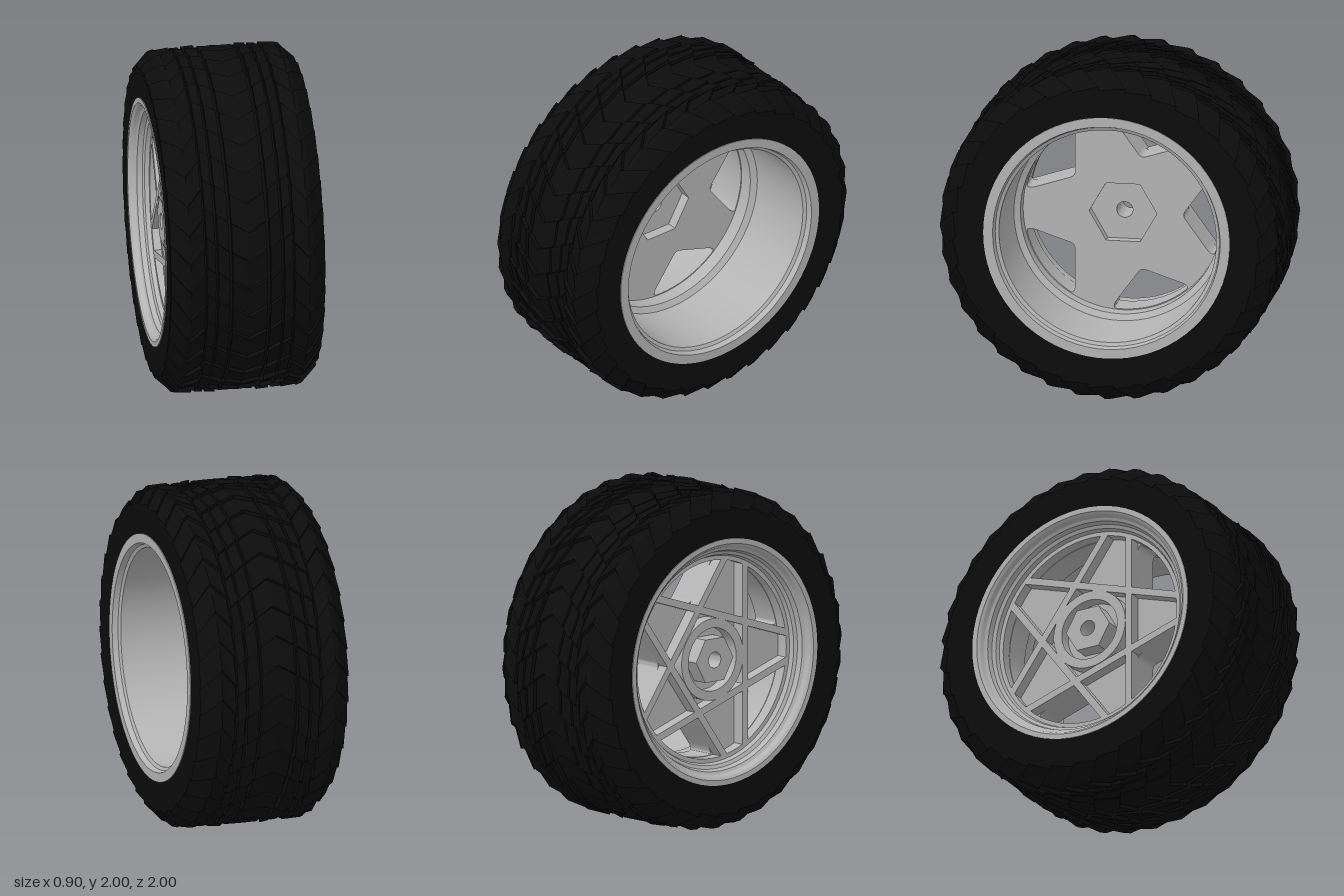
import * as THREE from 'three';
import { toCreasedNormals } from 'three/addons/utils/BufferGeometryUtils.js';

const rubber = new THREE.MeshStandardMaterial({ color: 0x0c0c0c });
rubber.name = 'black rubber';
const metal = new THREE.MeshStandardMaterial({ color: 0xb4b4b4 });
metal.name = 'grey rim';

const TAU = Math.PI * 2;
const V = (x, y) => new THREE.Vector2(x, y);
const polar = (r, a) => V(r * Math.cos(a), r * Math.sin(a));

function addMesh(parent, name, geometry, material, crease = 0.5) {
  const mesh = new THREE.Mesh(toCreasedNormals(geometry, crease), material);
  mesh.name = name;
  parent.add(mesh);
}

// Closed [radius, x] profile turned about the axle
function ring(profile, segments) {
  const pts = [...profile, profile[0]].map(([r, x]) => V(r, x));
  return new THREE.LatheGeometry(pts, segments).rotateZ(-Math.PI / 2);
}

// Shape drawn in the wheel plane, extruded along the axle from x0 to x1
function slab(shape, x0, x1) {
  return new THREE.ExtrudeGeometry(shape, { depth: x1 - x0, bevelEnabled: false, curveSegments: 32 })
    .translate(0, 0, x0).rotateY(Math.PI / 2);
}

const disc = (r) => new THREE.Shape().absarc(0, 0, r, 0, TAU, false);
const bore = (r) => new THREE.Path().absarc(0, 0, r, 0, TAU, true);
const hexagon = (r) => [0, 1, 2, 3, 4, 5].map((i) => polar(r, i * TAU / 6));

// Triangular opening between two star arms, with rounded corners
const STAR = 0.28, OPEN = 0.578;
function opening(a) {
  const half = Math.acos(STAR / OPEN) - Math.PI / 5;
  const tip = polar(STAR / Math.cos(Math.PI / 5), a);
  const c0 = polar(OPEN, a - half), c1 = polar(OPEN, a + half);
  const toward = (p, q, d) => p.clone().lerp(q, d / p.distanceTo(q));
  const trim = 0.07;
  const path = new THREE.Path();
  const start = toward(tip, c0, 0.03);
  path.moveTo(start.x, start.y);
  const before = toward(c0, tip, trim);
  path.lineTo(before.x, before.y);
  const arc0 = polar(OPEN, a - half + 0.06);
  path.quadraticCurveTo(c0.x, c0.y, arc0.x, arc0.y);
  for (let i = 1; i <= 12; i++) {
    const p = polar(OPEN, a + (half - 0.06) * (i / 6 - 1));
    path.lineTo(p.x, p.y);
  }
  const after = toward(c1, tip, trim);
  path.quadraticCurveTo(c1.x, c1.y, after.x, after.y);
  const end = toward(tip, c1, 0.03);
  path.lineTo(end.x, end.y);
  path.quadraticCurveTo(tip.x, tip.y, start.x, start.y);
  return path;
}

// Tread band: columns of [x, radius, chevron shift, saw depth], sheared so the teeth follow the V
const TEETH = 36;
const SAW = [[0, 0], [0.8, 1], [0.98, 1]];
function treadBand(columns) {
  const pos = [], index = [];
  const rows = TEETH * SAW.length, n = columns.length;
  for (let i = 0; i < rows; i++) {
    const [f, low] = SAW[i % SAW.length];
    const turn = Math.floor(i / SAW.length) + f;
    for (const [x, r, shift, saw] of columns) {
      const a = turn * TAU / TEETH + shift, rad = r - low * saw;
      pos.push(x, rad * Math.cos(a), rad * Math.sin(a));
    }
  }
  for (let i = 0; i < rows; i++) {
    for (let j = 0; j < n - 1; j++) {
      const a = i * n + j, b = ((i + 1) % rows) * n + j;
      index.push(a, b, b + 1, a, b + 1, a + 1);
    }
  }
  const g = new THREE.BufferGeometry();
  g.setAttribute('position', new THREE.Float32BufferAttribute(pos, 3));
  g.setIndex(index);
  return g;
}
const mirrored = (columns) => columns.map(([x, ...rest]) => [-x, ...rest]).reverse();

function buildTyre() {
  const tyre = new THREE.Group();
  tyre.name = 'tyre';
  // Carcass: flat sidewalls and the groove floor
  addMesh(tyre, 'carcass', ring([
    [0.715, -0.447], [0.885, -0.447], [0.9, -0.42], [0.945, -0.3],
    [0.945, 0.3], [0.9, 0.42], [0.885, 0.447], [0.715, 0.447],
  ], 72), rubber);

  addMesh(tyre, 'centreTread', treadBand([
    [-0.1, 0.93, -0.06, 0], [-0.1, 0.992, -0.06, 0.022], [0, 0.995, 0, 0.022],
    [0.1, 0.992, -0.06, 0.022], [0.1, 0.93, -0.06, 0],
  ]), rubber, 0.15);

  const innerRib = [
    [0.12, 0.93, -0.07, 0], [0.12, 1, -0.07, 0.025],
    [0.185, 0.995, -0.12, 0.025], [0.185, 0.93, -0.12, 0],
  ];
  const outerRib = [
    [0.2, 0.93, -0.12, 0], [0.2, 0.992, -0.12, 0.02],
    [0.25, 0.992, -0.16, 0.02], [0.25, 0.93, -0.16, 0],
  ];
  const shoulder = [
    [0.262, 0.93, -0.1, 0], [0.262, 0.995, -0.1, 0.025], [0.345, 0.992, 0, 0.022],
    [0.37, 0.985, -0.025, 0.022], [0.449, 0.905, -0.12, 0.02], [0.449, 0.86, -0.12, 0],
  ];
  for (const [name, band] of [['innerRib', innerRib], ['outerRib', outerRib], ['shoulderTread', shoulder]]) {
    addMesh(tyre, name + 'Left', treadBand(band), rubber, 0.15);
    addMesh(tyre, name + 'Right', treadBand(mirrored(band)), rubber, 0.15);
  }
  return tyre;
}

function buildRim() {
  const rim = new THREE.Group();
  rim.name = 'rim';
  // Barrel: deep hollow on the left, stepped lip on the right
  addMesh(rim, 'barrel', ring([
    [0.72, -0.452], [0.72, 0.452], [0.665, 0.452], [0.655, 0.42], [0.635, 0.41],
    [0.62, 0], [0.585, -0.02], [0.58, -0.34], [0.605, -0.34], [0.615, -0.365],
    [0.635, -0.375], [0.645, -0.405], [0.662, -0.415], [0.675, -0.44], [0.69, -0.452],
  ], 72), metal, 0.4);

  // Star plate: back layer with a hexagonal socket, web with the axle bore
  const back = disc(0.6), web = disc(0.6);
  back.holes.push(new THREE.Path(hexagon(0.198).reverse()));
  web.holes.push(bore(0.047));
  for (let i = 0; i < 5; i++) {
    back.holes.push(opening(i * TAU / 5));
    web.holes.push(opening(i * TAU / 5));
  }
  addMesh(rim, 'starBack', slab(back, -0.16, -0.1), metal);
  addMesh(rim, 'starWeb', slab(web, -0.27, -0.16), metal);

  // Raised ribs along the five lines of the star
  const bar = new THREE.Shape([V(0.238, -0.53), V(STAR, -0.53), V(STAR, 0.53), V(0.238, 0.53)]);
  for (let i = 0; i < 5; i++) {
    const g = slab(bar, -0.34, -0.27).rotateX((i + 0.5) * TAU / 5);
    addMesh(rim, 'starRib', g, metal);
  }

  // Hub collar and hexagonal boss
  const collar = disc(0.24);
  collar.holes.push(bore(0.185));
  addMesh(rim, 'hubCollar', slab(collar, -0.345, -0.27), metal);
  const boss = new THREE.Shape(hexagon(0.145));
  boss.holes.push(bore(0.047));
  addMesh(rim, 'hubBoss', slab(boss, -0.365, -0.27), metal);
  return rim;
}

export function createModel() {
  const wheel = new THREE.Group();
  wheel.name = 'wheel';
  wheel.add(buildTyre(), buildRim());
  for (const part of wheel.children) part.position.y = 1;
  return wheel;
}
